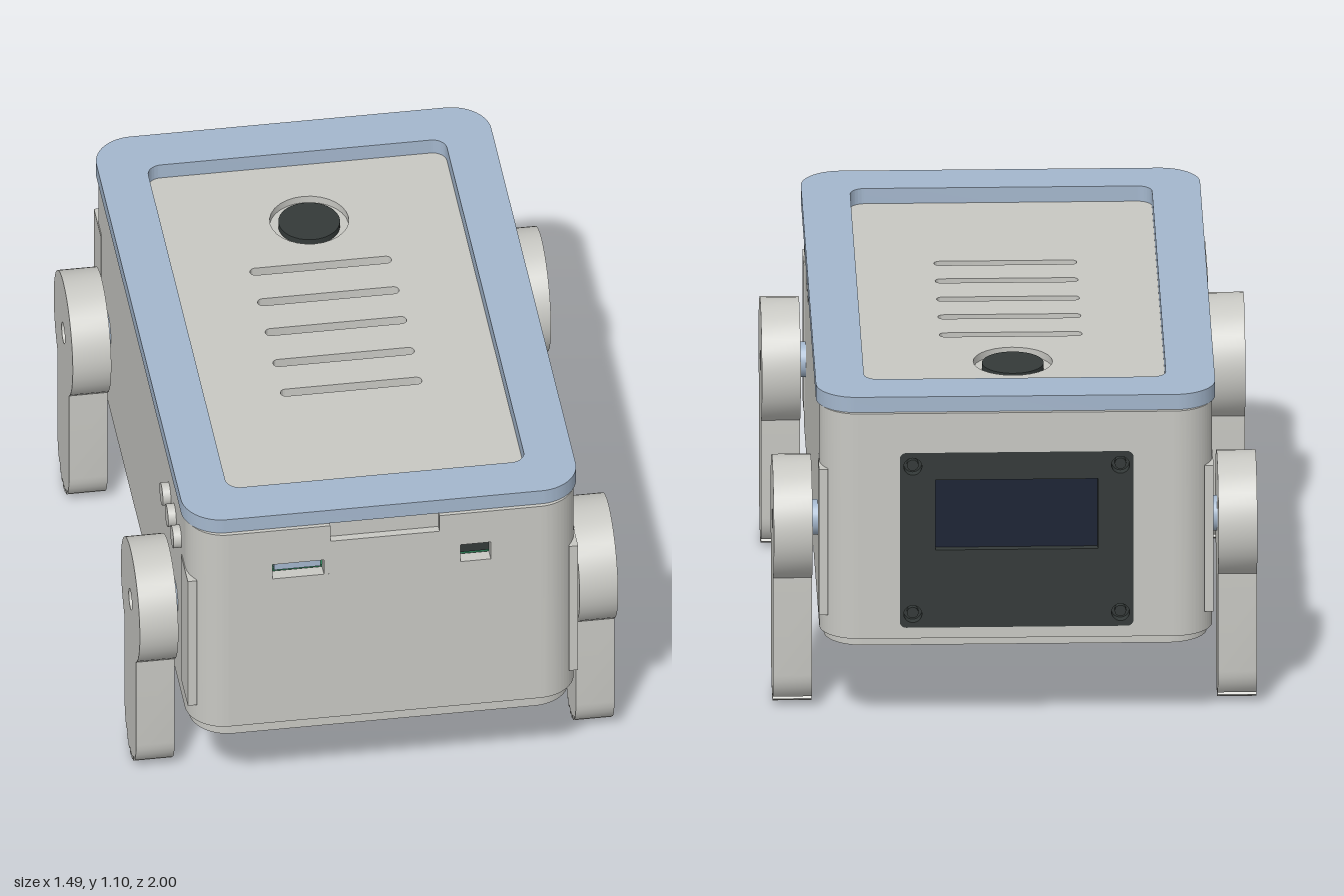
import * as THREE from 'three';
import { toCreasedNormals } from 'three/addons/utils/BufferGeometryUtils.js';

const mat = (name, color) => new THREE.MeshStandardMaterial({ name, color });
const grey = mat('light grey', 0xc8c8c3);
const blue = mat('pale blue', 0xa4b7cd);
const dark = mat('charcoal', 0x343a39);
const green = mat('board green', 0x2a7a52);
const navy = mat('screen navy', 0x1c2335);

// Rounded rectangle between two corners
function rect(x0, y0, x1, y1, r = 0, Type = THREE.Shape) {
  const s = new Type();
  if (r === 0) {
    s.moveTo(x0, y0); s.lineTo(x1, y0); s.lineTo(x1, y1); s.lineTo(x0, y1); s.closePath();
    return s;
  }
  s.moveTo(x0 + r, y0);
  s.absarc(x1 - r, y0 + r, r, -Math.PI / 2, 0);
  s.absarc(x1 - r, y1 - r, r, 0, Math.PI / 2);
  s.absarc(x0 + r, y1 - r, r, Math.PI / 2, Math.PI);
  s.absarc(x0 + r, y0 + r, r, Math.PI, Math.PI * 1.5);
  s.closePath();
  return s;
}
const hole = (...a) => rect(...a, THREE.Path);
const disc = (x, y, r, Type = THREE.Path) => new Type().absarc(x, y, r, 0, Math.PI * 2);

function extrude(shape, depth) {
  const g = new THREE.ExtrudeGeometry(shape, { depth, bevelEnabled: false, curveSegments: 14 });
  return toCreasedNormals(g, 0.5);
}
// Plan shape (x, -z) raised from y0 to y1
const raise = (shape, y0, y1) => extrude(shape, y1 - y0).rotateX(-Math.PI / 2).translate(0, y0, 0);
// Side shape (-z, y) spanning x0 to x1
const across = (shape, x0, x1) => extrude(shape, x1 - x0).rotateY(Math.PI / 2).translate(x0, 0, 0);

export function createModel() {
  const root = new THREE.Group();
  root.name = 'deviceOnLegs';
  const add = (name, geo, material, parent = root) => {
    const m = new THREE.Mesh(geo, material);
    m.name = name;
    parent.add(m);
    return m;
  };
  const box = (name, x0, x1, y0, y1, z0, z1, material) =>
    add(name, new THREE.BoxGeometry(x1 - x0, y1 - y0, z1 - z0)
      .translate((x0 + x1) / 2, (y0 + y1) / 2, (z0 + z1) / 2), material);

  const W = 0.605, R = 0.12, T = 0.04, Y0 = 0.31, Y1 = 1.05;
  const fx = W - R, fz = 1 - R;

  // Case: four walls and four rounded corners
  const front = new THREE.Shape();
  [[-fx, Y0], [fx, Y0], [fx, Y1], [0.17, Y1], [0.17, 0.99], [-0.17, 0.99], [-0.17, Y1], [-fx, Y1]]
    .forEach(([x, y], i) => (i ? front.lineTo(x, y) : front.moveTo(x, y)));
  front.holes.push(hole(-0.35, 0.865, -0.19, 0.92, 0), hole(0.235, 0.865, 0.33, 0.93, 0));
  add('frontWall', extrude(front, T).translate(0, 0, 1 - T), grey);
  box('fingerNotchBack', -0.17, 0.17, 0.99, Y1, 0.95, 0.975, grey);

  const back = rect(-fx, Y0, fx, Y1);
  back.holes.push(hole(-0.36, 0.345, 0.36, 0.92, 0.02));
  add('backWall', extrude(back, T).translate(0, 0, -1), grey);

  const leftSide = rect(-fz, Y0, fz, Y1);
  leftSide.holes.push(hole(-0.61, 0.875, -0.41, 0.92, 0));
  add('leftWall', across(leftSide, W - T, W), grey);
  add('rightWall', across(rect(-fz, Y0, fz, Y1), -W, T - W), grey);

  for (let i = 0; i < 4; i++) {
    const sx = i % 2 ? -1 : 1, sz = i < 2 ? 1 : -1;
    const a = [Math.PI * 1.5, Math.PI, 0, Math.PI / 2][i];
    const c = new THREE.Shape();
    c.absarc(sx * fx, -sz * fz, R, a, a + Math.PI / 2, false);
    c.absarc(sx * fx, -sz * fz, R - T, a + Math.PI / 2, a, true);
    c.closePath();
    add('caseCorner', raise(c, Y0, Y1), grey);
  }

  // Flat mounting pads that square off the corners behind the legs
  for (const sx of [1, -1]) for (const sz of [1, -1]) {
    const pad = add('legMountPad', new THREE.BoxGeometry(0.028, 0.48, 0.14), grey);
    pad.position.set(sx * 0.594, 0.614, sz * 0.89);
  }

  // Base plate with vents and screw holes
  const base = rect(-0.59, -0.985, 0.59, 0.95, R);
  for (let i = 0; i < 4; i++) {
    const z = -0.21 + i * 0.08;
    base.holes.push(hole(-0.45, -z - 0.02, 0.45, -z + 0.02, 0.018));
  }
  const screws = [[0.52, -0.23], [0.18, -0.61], [-0.44, -0.34], [-0.46, -0.59], [0.29, 0.77], [-0.33, 0.77]];
  screws.forEach(([x, z]) => base.holes.push(disc(x, -z, 0.035)));
  add('basePlate', raise(base, 0.27, Y0), grey);
  screws.forEach(([x, z]) => {
    const s = add('baseScrew', new THREE.CylinderGeometry(0.035, 0.035, 0.02, 20), grey);
    s.position.set(x, 0.302, z);
  });

  // Lid frame and recessed, slotted top panel
  const lid = rect(-0.615, -0.987, 0.615, 0.987, 0.125);
  lid.holes.push(hole(-0.465, -0.83, 0.465, 0.83, 0.045));
  add('lidFrame', raise(lid, Y1, 1.1), blue);
  const top = rect(-0.56, -0.95, 0.56, 0.95, 0.07);
  for (const z of [-0.315, -0.158, -0.004, 0.155, 0.308])
    top.holes.push(hole(-0.22, -z - 0.018, 0.22, -z + 0.018, 0.0175));
  top.holes.push(disc(0, 0.55, 0.122));
  add('topPanel', raise(top, 1.01, 1.049), grey);
  add('sensorSeat', raise(disc(0, 0.55, 0.124, THREE.Shape), 1.0, 1.025), grey);
  add('sensorDome', new THREE.CylinderGeometry(0.095, 0.095, 0.04, 40).translate(0, 1.025, -0.55), dark);

  // Circuit board and components visible through the openings
  box('circuitBoard', -0.5, 0.5, 0.85, 0.868, -0.4, 0.955, green);
  box('heatBlock', -0.02, 0.4, 0.8, 0.9, -0.23, 0.23, grey);
  box('heatBlockEdge', -0.035, -0.02, 0.868, 0.9, -0.23, 0.23, dark);
  box('chip', 0.06, 0.135, 0.868, 0.885, -0.345, -0.285, dark);
  for (const x of [0.005, 0.03]) box('smallChip', x, x + 0.012, 0.868, 0.88, -0.33, -0.3, dark);
  for (const x of [-0.1, 0.12]) box('smallChip', x - 0.008, x + 0.008, 0.868, 0.88, 0.3, 0.316, dark);
  box('widePort', -0.34, -0.195, 0.872, 0.92, 0.8, 0.965, blue);
  box('narrowPort', 0.235, 0.33, 0.875, 0.922, 0.85, 0.965, dark);
  box('cardReader', 0.4, 0.57, 0.87, 0.925, 0.4, 0.62, dark);

  // Display panel on the back
  const panel = rect(-0.36, 0.345, 0.36, 0.92, 0.02);
  panel.holes.push(hole(-0.25, 0.6, 0.25, 0.83, 0));
  for (const x of [-0.32, 0.32]) for (const y of [0.39, 0.875]) {
    panel.holes.push(disc(x, y, 0.028));
    add('panelScrew', new THREE.CylinderGeometry(0.018, 0.018, 0.02, 16).rotateX(Math.PI / 2)
      .translate(x, y, -0.978), dark);
  }
  add('displayPanel', extrude(panel, 0.035).translate(0, 0, -1), dark);
  box('displayPanelBacking', -0.36, 0.36, 0.345, 0.92, -0.97, -0.95, dark);
  box('screen', -0.25, 0.25, 0.6, 0.83, -0.975, -0.965, navy);

  // Push buttons on the right side
  for (const z of [0.56, 0.67, 0.78])
    add('pushButton', new THREE.CylinderGeometry(0.036, 0.036, 0.04, 24).rotateZ(Math.PI / 2)
      .translate(-0.61, 0.895, z), grey);

  // Legs: round hip, straight shank and a toothed rounded foot
  const hipY = 0.595, hipR = 0.195, half = 0.117;
  const leg = new THREE.Shape();
  const a0 = Math.asin(half / hipR);
  leg.absarc(0, hipY, hipR, -Math.PI / 2 + a0, Math.PI * 1.5 - a0, false);
  leg.lineTo(-half, half);
  const foot = (t, r) => leg.lineTo(Math.sin(t) * r, half - Math.cos(t) * r);
  for (let i = 1; i <= 4; i++) foot(-Math.PI / 2 + i * 0.19, half);
  for (let i = 0; i < 11; i++) {
    const r = i % 2 ? half : half - 0.013;
    foot(-0.77 + i * 0.14, r);
    foot(-0.77 + (i + 1) * 0.14, r);
  }
  for (let i = 4; i >= 1; i--) foot(Math.PI / 2 - i * 0.19, half);
  leg.lineTo(half, half);
  leg.closePath();
  leg.holes.push(disc(0, hipY, 0.034));
  const legGeo = across(leg, -0.06, 0.06);
  const rod = (r, len) => new THREE.CylinderGeometry(r, r, len, 24).rotateZ(Math.PI / 2);
  for (const sx of [1, -1]) for (const z of [0.685, -0.687]) {
    const g = new THREE.Group();
    g.name = 'leg';
    g.position.set(sx * 0.685, 0, z);
    add('legBody', legGeo, grey, g);
    add('hipWasher', rod(0.034, 0.05), grey, g).position.set(0, hipY, 0);
    add('hipScrew', rod(0.018, 0.056), blue, g).position.set(0, hipY, 0);
    add('hipShaft', rod(0.055, 0.05), blue, g).position.set(-sx * 0.083, hipY, 0);
    root.add(g);
  }
  return root;
}
